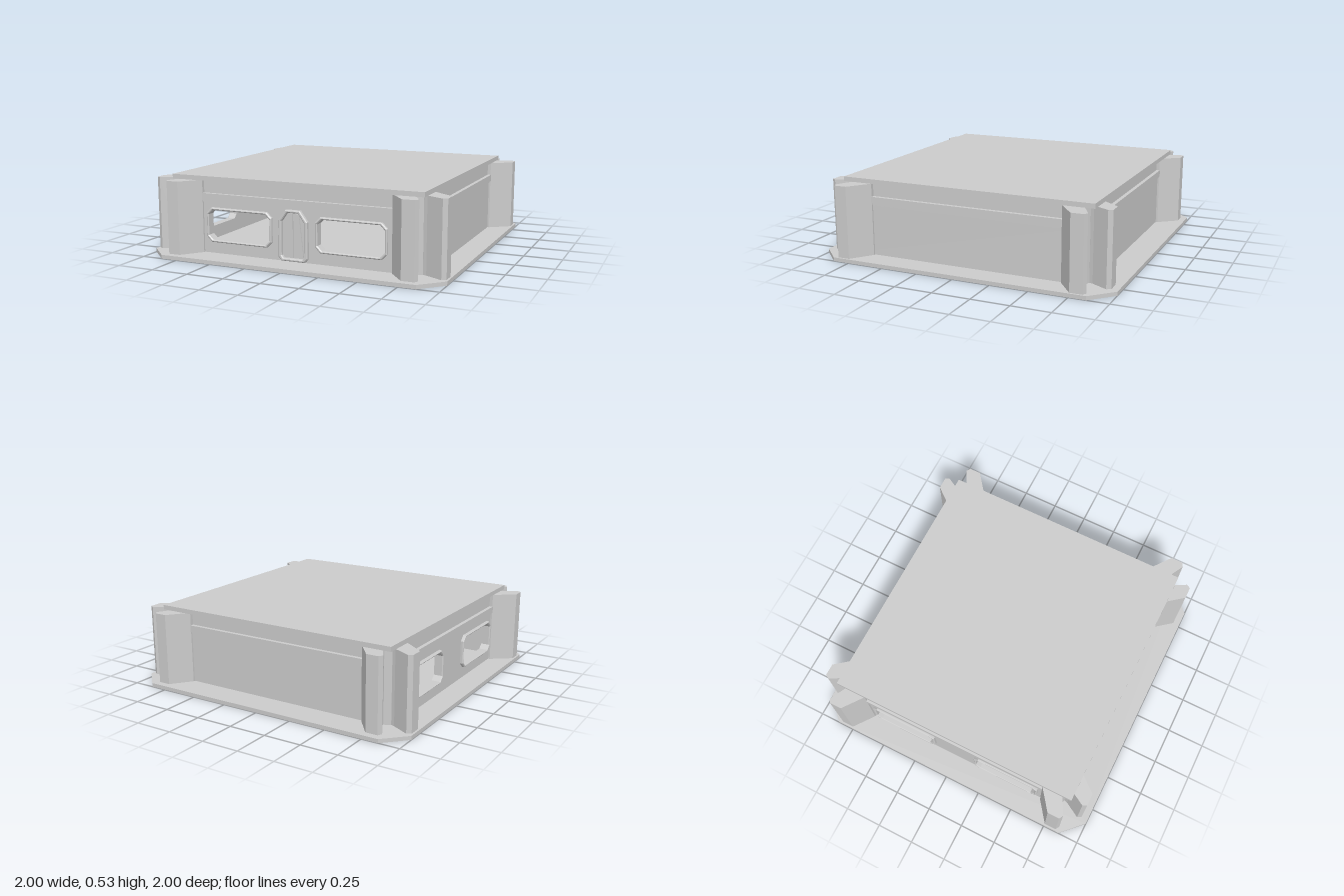
import * as THREE from 'three';

const material = new THREE.MeshStandardMaterial({ color: 0xcccccc, flatShading: true });
const BASE_TOP = 0.025, WALL_TOP = 0.5;

const toVectors = (pts) => pts.map(([x, y]) => new THREE.Vector2(x, y));

function addMesh(parent, name, geometry) {
  const m = new THREE.Mesh(geometry, material);
  m.name = name;
  parent.add(m);
  return m;
}

// Rectangle with cut corners, as a list of points
function cutRect(x0, y0, x1, y1, c) {
  return [[x0 + c, y0], [x1 - c, y0], [x1, y0 + c], [x1, y1 - c],
    [x1 - c, y1], [x0 + c, y1], [x0, y1 - c], [x0, y0 + c]];
}

// Outline with holes, pushed out from z0 to z1
function slab(outline, holes, z0, z1, bevel = 0) {
  const shape = new THREE.Shape(toVectors(outline));
  holes.forEach((h) => shape.holes.push(new THREE.Path(toVectors(h))));
  const g = new THREE.ExtrudeGeometry(shape, {
    depth: z1 - z0 - bevel, bevelEnabled: bevel > 0, bevelThickness: bevel,
    bevelSize: bevel, bevelOffset: -bevel, bevelSegments: 1,
  });
  return g.translate(0, 0, z0);
}

// Plan outline (x, z) raised from y0 to y1
function prism(plan, y0, y1) {
  const g = slab(plan.map(([x, z]) => [x, -z]), [], 0, y1 - y0);
  return g.rotateX(-Math.PI / 2).translate(0, y0, 0);
}

function box(x0, x1, y0, y1, z0, z1) {
  return new THREE.BoxGeometry(x1 - x0, y1 - y0, z1 - z0)
    .translate((x0 + x1) / 2, (y0 + y1) / 2, (z0 + z1) / 2);
}

// One wall facing +z, with its mouldings, optional windows and two buttresses
function buildSide(name, face, reach, hasWindows) {
  const side = new THREE.Group();
  side.name = name;
  const L = 0.78;
  const windows = hasWindows ? [-0.385, 0.385] : [];
  const opening = (cx) => cutRect(cx - 0.22, 0.115, cx + 0.22, 0.31, 0.03);

  addMesh(side, 'wallPanel', slab(
    [[-L, BASE_TOP], [L, BASE_TOP], [L, 0.37], [-L, 0.37]], windows.map(opening), face - 0.04, face));
  addMesh(side, 'moulding', box(-L, L, 0.37, 0.415, face - 0.04, face + 0.015));
  addMesh(side, 'upperWall', box(-L, L, 0.415, WALL_TOP, face - 0.04, face - 0.01));
  addMesh(side, 'shadowGroove', box(-L, L, 0.358, 0.37, face - 0.04, face + 0.006));

  windows.forEach((cx) => addMesh(side, 'windowFrame', slab(
    cutRect(cx - 0.235, 0.1, cx + 0.235, 0.325, 0.035), [opening(cx)], face - 0.01, face + 0.02, 0.006)));

  // Buttress plan: sloped inner cheek, flat face, small outer chamfer
  for (const s of [-1, 1]) {
    const plan = [[0.65, face - 0.02], [0.65, face + 0.012], [0.752, reach], [0.832, reach],
      [0.848, reach - 0.027], [0.79, face + 0.01], [0.78, face - 0.02]];
    addMesh(side, 'cornerButtress', prism(plan.map(([x, z]) => [s * x, z]), BASE_TOP, WALL_TOP));
  }
  return side;
}

// Doorway: raised surround and two tapered leaves with a gap between
function buildDoor(face) {
  const door = new THREE.Group();
  door.name = 'door';
  const outer = [[-0.08, 0.03], [0.08, 0.03], [0.1, 0.055], [0.1, 0.285],
    [0.05, 0.353], [-0.05, 0.353], [-0.1, 0.285], [-0.1, 0.055]];
  const inner = [[-0.065, 0.048], [0.065, 0.048], [0.078, 0.065], [0.078, 0.28],
    [0.038, 0.336], [-0.038, 0.336], [-0.078, 0.28], [-0.078, 0.065]];
  addMesh(door, 'doorSurround', slab(outer, [inner], face - 0.01, face + 0.025, 0.006));
  for (const s of [-1, 1]) {
    const leaf = [[0.005, 0.05], [0.066, 0.05], [0.064, 0.085], [0.037, 0.325], [0.005, 0.334]];
    addMesh(door, 'doorLeaf', slab(leaf.map(([x, y]) => [s * x, y]), [], face - 0.005, face + 0.008));
  }
  return door;
}

export function createModel() {
  const model = new THREE.Group();
  model.name = 'building';

  // Base plate with cut corners, and flat roof
  addMesh(model, 'basePlate', prism(cutRect(-1, -1, 1, 1, 0.14), 0, BASE_TOP));
  addMesh(model, 'roof', box(-0.855, 0.855, WALL_TOP, 0.53, -0.853, 0.853));

  const FRONT = 0.815, SIDE = 0.84;
  [
    ['frontSide', FRONT, 0.955, true, 0],
    ['leftSide', SIDE, 0.987, false, Math.PI / 2],
    ['backSide', FRONT, 0.955, false, Math.PI],
    ['rightSide', SIDE, 0.987, true, -Math.PI / 2],
  ].forEach(([name, face, reach, hasWindows, turn]) => {
    const side = buildSide(name, face, reach, hasWindows);
    side.rotation.y = turn;
    model.add(side);
  });
  model.add(buildDoor(FRONT));

  // Posts closing the wall corners between the buttresses
  for (const sx of [-1, 1]) for (const sz of [-1, 1]) {
    const plan = [[0.74, 0.76], [0.74, FRONT - 0.012], [0.785, FRONT - 0.012], [SIDE - 0.012, 0.785],
      [SIDE - 0.012, 0.74], [0.78, 0.74]];
    addMesh(model, 'cornerPost', prism(plan.map(([x, z]) => [sx * x, sz * z]), BASE_TOP, WALL_TOP));
  }
  return model;
}
